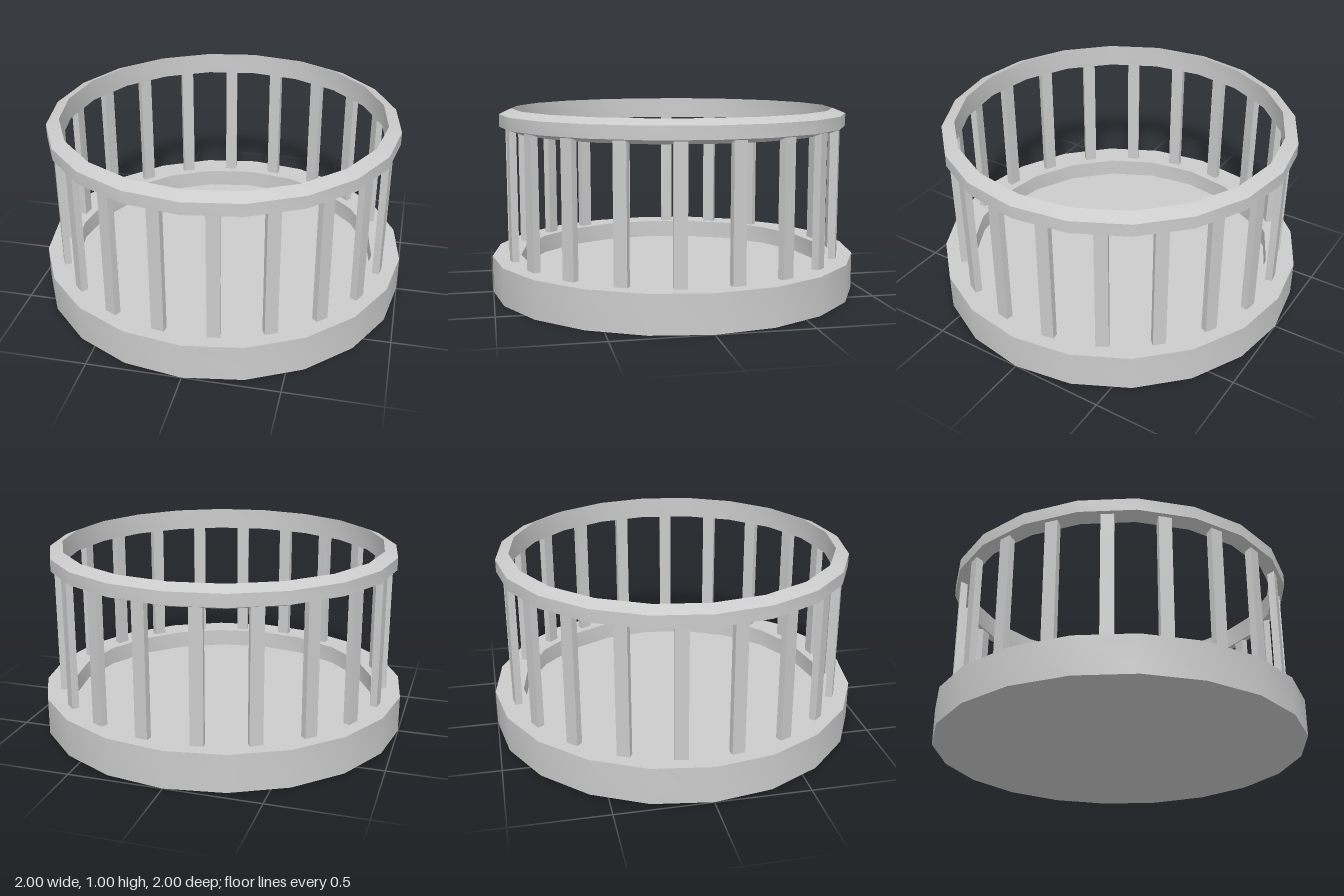
import * as THREE from 'three';
import { toCreasedNormals } from 'three/addons/utils/BufferGeometryUtils.js';

const SIDES = 20;
const material = new THREE.MeshStandardMaterial({ color: 0xcccccc });

// Turns a profile of [radius, height] pairs, keeping hard edges between bands
function turned(name, profile) {
  const points = profile.map(([r, y]) => new THREE.Vector2(r, y));
  const geometry = toCreasedNormals(new THREE.LatheGeometry(points, SIDES), Math.PI / 6);
  const mesh = new THREE.Mesh(geometry, material);
  mesh.name = name;
  return mesh;
}

export function createModel() {
  const model = new THREE.Group();
  model.name = 'roundRailing';

  // Plinth with a sunken floor
  model.add(turned('base', [[0, 0], [1, 0], [1, 0.2], [0.845, 0.2], [0.845, 0.1], [0, 0.1]]));

  // Handrail: upright inner wall, bevelled outside
  model.add(turned('topRail', [
    [0.875, 0.88], [0.945, 0.905], [0.945, 0.972], [0.875, 1], [0.875, 0.88],
  ]));

  // Flat posts, one in the middle of each side
  const posts = new THREE.Group();
  posts.name = 'posts';
  const postGeometry = new THREE.BoxGeometry(0.068, 0.74, 0.038);
  for (let i = 0; i < SIDES; i++) {
    const angle = ((i + 0.5) / SIDES) * Math.PI * 2;
    const post = new THREE.Mesh(postGeometry, material);
    post.name = 'post';
    post.position.set(Math.sin(angle) * 0.897, 0.56, Math.cos(angle) * 0.897);
    post.rotation.y = angle;
    posts.add(post);
  }
  model.add(posts);

  return model;
}
